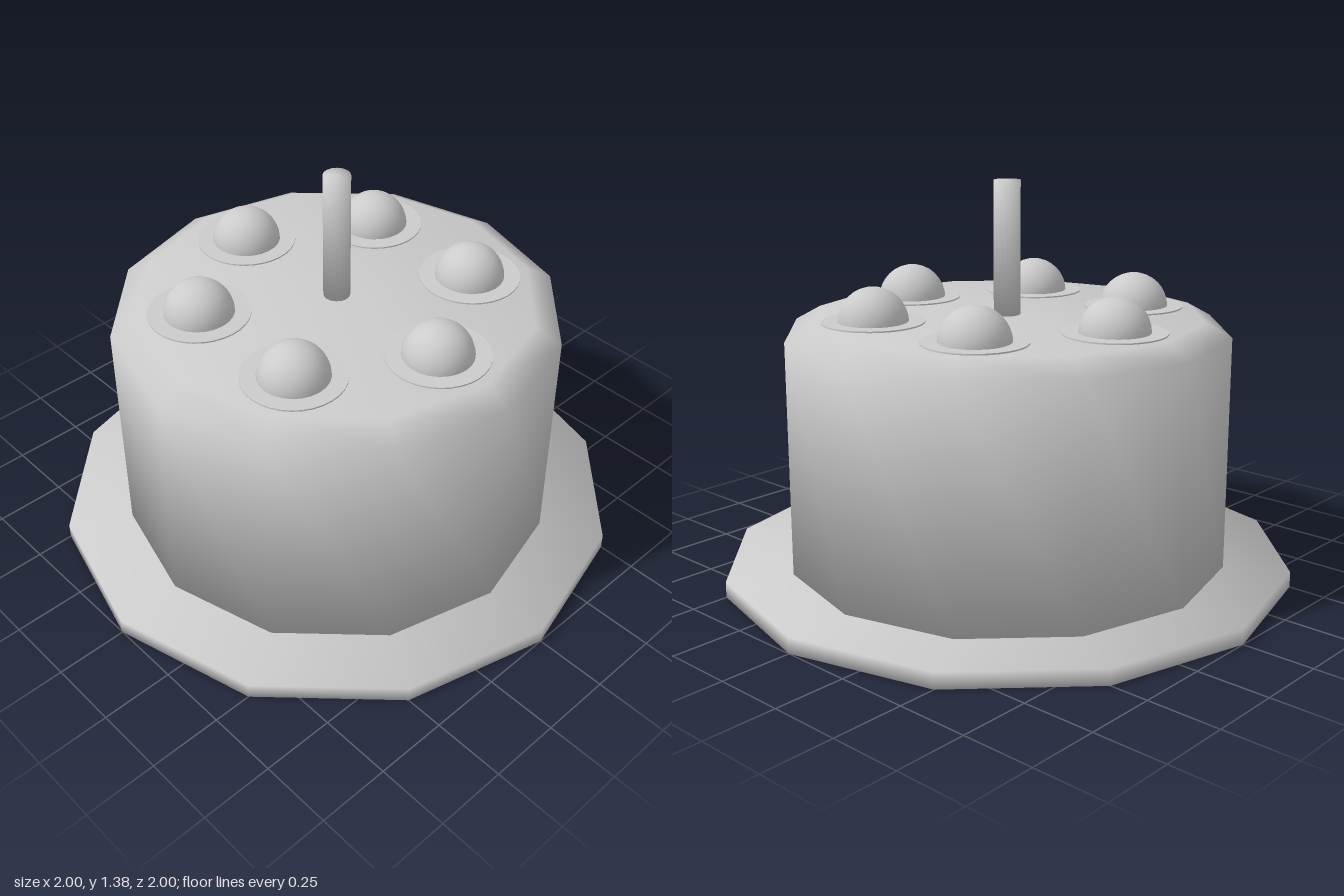
import * as THREE from 'three';

const material = new THREE.MeshStandardMaterial({ color: 0xcccccc });

// Turns a bottom-to-top [radius, height] profile into a solid with soft normals across its rims.
function softLathe(profile, sides) {
  const points = profile.map(([r, y]) => new THREE.Vector2(r, y));
  const geometry = new THREE.LatheGeometry(points, sides);
  const facing = points.slice(1).map((p, i) => {
    const d = p.clone().sub(points[i]).normalize();
    return new THREE.Vector2(d.y, -d.x);
  });
  const rims = points.map((p, i) => {
    const n = new THREE.Vector2();
    if (i > 0) n.add(facing[i - 1]);
    if (i < facing.length) n.add(facing[i]);
    return n.normalize();
  });
  const normal = geometry.attributes.normal;
  for (let i = 0; i < normal.count; i++) {
    const angle = (Math.floor(i / points.length) / sides) * Math.PI * 2;
    const n = rims[i % points.length];
    normal.setXYZ(i, n.x * Math.sin(angle), n.y, n.x * Math.cos(angle));
  }
  return geometry;
}

function addPart(parent, name, geometry) {
  const mesh = new THREE.Mesh(geometry, material);
  mesh.name = name;
  parent.add(mesh);
  return mesh;
}

export function createModel() {
  const model = new THREE.Group();
  model.name = 'cake';

  // Twelve-sided plate
  addPart(model, 'plate', softLathe([[0, 0], [1, 0], [1, 0.055], [0, 0.055]], 12));

  // Cake body with a bevelled top edge
  addPart(model, 'cakeBody',
    softLathe([[0, 0.055], [0.77, 0.055], [0.77, 0.87], [0.68, 0.92], [0, 0.92]], 12));

  // Candle in the centre
  addPart(model, 'candle', softLathe([[0, 0.9], [0.046, 0.9], [0.046, 1.38], [0, 1.38]], 16));

  // Ring of cherries, each on a thin disc of cream
  const creamGeometry = new THREE.CylinderGeometry(0.174, 0.174, 0.01, 32);
  const cherryGeometry = new THREE.SphereGeometry(0.12, 24, 16);
  for (let i = 0; i < 6; i++) {
    const angle = (i / 6) * Math.PI * 2;
    const topping = new THREE.Group();
    topping.name = `topping${i + 1}`;
    topping.position.set(0.47 * Math.sin(angle), 0.92, 0.47 * Math.cos(angle));
    addPart(topping, 'cream', creamGeometry);
    addPart(topping, 'cherry', cherryGeometry);
    model.add(topping);
  }
  return model;
}
